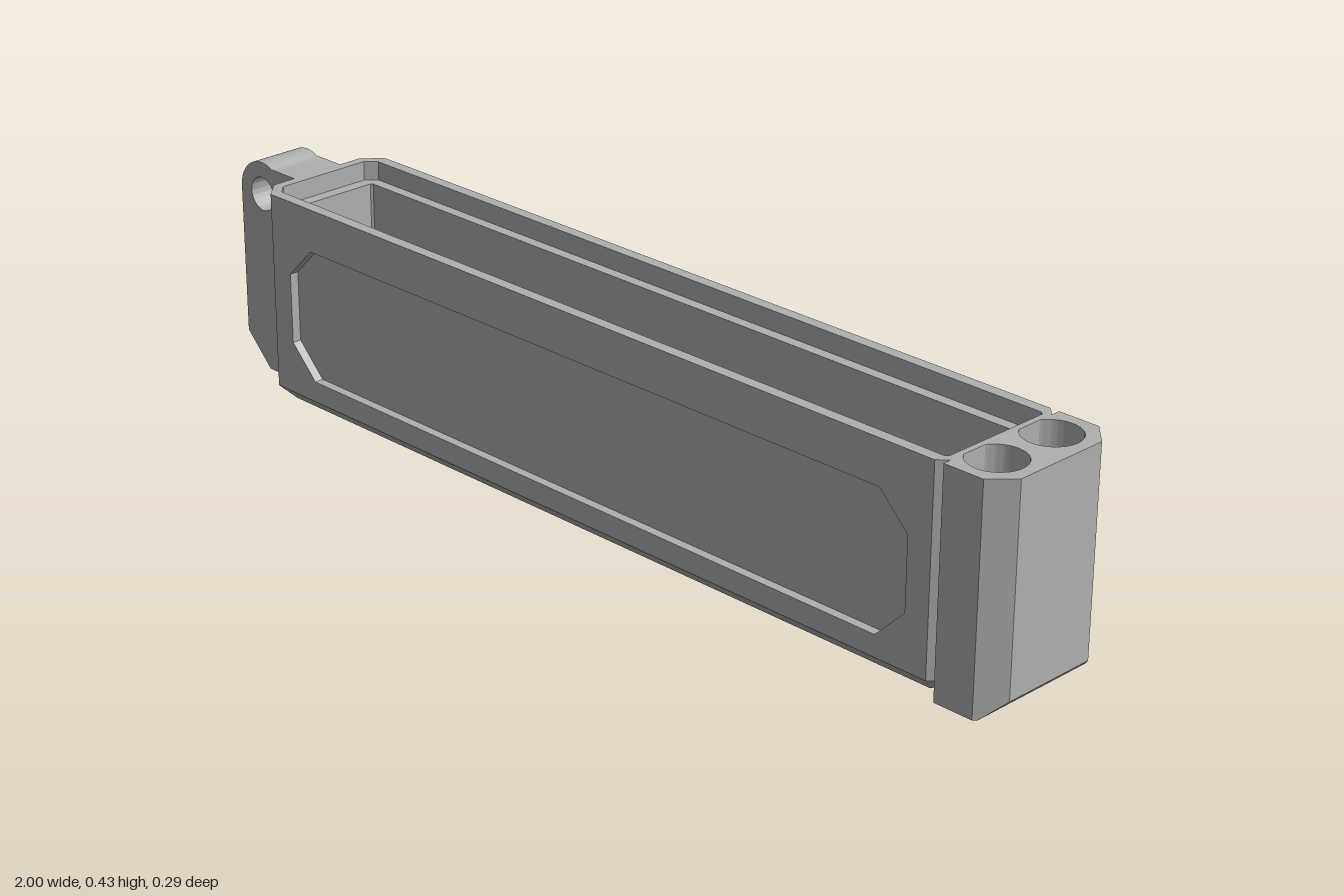
import * as THREE from 'three';
import { toCreasedNormals } from 'three/addons/utils/BufferGeometryUtils.js';

const TOP = 0.428, BASE = 0.033, HALF = 0.143, PANEL = 0.018;

// Rectangle in plan with cut corners; separate cuts for the -x and +x ends
function octagon(x0, x1, z, cl, cr) {
  return [[x0 + cl, -z], [x1 - cr, -z], [x1, -z + cr], [x1, z - cr],
    [x1 - cr, z], [x0 + cl, z], [x0, z - cl], [x0, -z + cl]];
}
const toPath = (pts, Type = THREE.Shape) => new Type(pts.map(([x, y]) => new THREE.Vector2(x, y)));

// Extrude a plan shape upward between two heights
function rise(shape, y0, y1) {
  const g = new THREE.ExtrudeGeometry(shape, { depth: y1 - y0, bevelEnabled: false, curveSegments: 40 });
  g.rotateX(-Math.PI / 2).translate(0, y0, 0);
  return toCreasedNormals(g, 0.5);
}

// Join convex plan rings, with a cap at each end
function loft(rings) {
  const pos = [];
  const at = (r, i) => pos.push(r.pts[i][0], r.y, -r.pts[i][1]);
  const n = rings[0].pts.length;
  for (let k = 0; k + 1 < rings.length; k++) {
    const a = rings[k], b = rings[k + 1];
    for (let i = 0; i < n; i++) {
      const j = (i + 1) % n;
      at(a, i); at(a, j); at(b, j);
      at(a, i); at(b, j); at(b, i);
    }
  }
  const first = rings[0], last = rings[rings.length - 1];
  for (let i = 1; i < n - 1; i++) {
    at(first, 0); at(first, i + 1); at(first, i);
    at(last, 0); at(last, i); at(last, i + 1);
  }
  const g = new THREE.BufferGeometry();
  g.setAttribute('position', new THREE.Float32BufferAttribute(pos, 3));
  g.computeVertexNormals();
  return g;
}

export function createModel() {
  const model = new THREE.Group();
  const grey = new THREE.MeshStandardMaterial({ color: 0xb0b0b0 });
  grey.name = 'plain grey';
  const add = (name, geometry) => {
    const mesh = new THREE.Mesh(geometry, grey);
    mesh.name = name;
    model.add(mesh);
  };

  // Tray floor with bevelled underside
  const full = octagon(-0.835, 0.878, HALF, 0.035, 0.018);
  const inset = octagon(-0.802, 0.845, HALF - BASE, 0.016, 0.004);
  add('trayBase', loft([{ pts: inset, y: 0.008 }, { pts: inset, y: 0 }, { pts: full, y: BASE }]));

  // Underside skin with three shallow slots
  const skin = toPath(inset);
  for (const x of [-0.11, 0.02, 0.15]) {
    skin.holes.push(toPath(octagon(x - 0.008, x + 0.008, 0.065, 0.002, 0.002), THREE.Path));
  }
  add('slottedUnderside', rise(skin, 0, 0.008));

  // Tray walls, with a stepped ledge below the rim
  const wall = (hole, y0, y1) => {
    const s = toPath(octagon(-0.835, 0.878, HALF - PANEL, 0.018, 0.001));
    s.holes.push(toPath(hole, THREE.Path));
    return rise(s, y0, y1);
  };
  add('trayWalls', wall(octagon(-0.79, 0.855, 0.098, 0.004, 0.004), BASE, 0.39));
  add('trayRim', wall(octagon(-0.815, 0.866, 0.12, 0.02, 0.006), 0.39, TOP));

  // Long side faces framing a recessed eight-sided panel
  for (const [name, z] of [['frontFrame', HALF - PANEL], ['backFrame', -HALF]]) {
    const s = toPath([[-0.8, BASE], [0.86, BASE], [0.86, TOP], [-0.8, TOP]]);
    const c = 0.063;
    s.holes.push(toPath([[-0.75 + c, 0.075], [0.81 - c, 0.075], [0.81, 0.075 + c], [0.81, 0.342 - c],
      [0.81 - c, 0.342], [-0.75 + c, 0.342], [-0.75, 0.342 - c], [-0.75, 0.075 + c]], THREE.Path));
    const g = new THREE.ExtrudeGeometry(s, { depth: PANEL, bevelEnabled: false }).translate(0, 0, z);
    // slope the end edges so they continue the cut corners
    const p = g.attributes.position;
    for (let i = 0; i < p.count; i++) {
      if (Math.abs(p.getZ(i)) > 0.13) continue;
      if (p.getX(i) < -0.79) p.setX(i, -0.8 - PANEL);
      if (p.getX(i) > 0.85) p.setX(i, 0.86 + PANEL);
    }
    g.computeVertexNormals();
    add(name, g);
  }

  // Hanging lug with a round eye
  const lug = new THREE.Shape();
  lug.moveTo(-0.935, 0);
  lug.lineTo(-0.83, 0);
  lug.lineTo(-0.83, TOP);
  lug.lineTo(-0.89, TOP);
  lug.absarc(-0.935, 0.37, 0.065, 1.1, Math.PI, false);
  lug.lineTo(-1, 0.065);
  const eye = new THREE.Path();
  eye.absarc(-0.935, 0.37, 0.034, 0, Math.PI * 2, true);
  lug.holes.push(eye);
  const lugGeo = new THREE.ExtrudeGeometry(lug, { depth: 0.114, bevelEnabled: false, curveSegments: 32 });
  add('hangingLug', toCreasedNormals(lugGeo.translate(0, 0, -0.057), 0.5));

  // End block with two round sockets open toward the tray
  const block = toPath([[0.878, -HALF], [0.96, -HALF], [1, -0.1], [1, 0.1], [0.96, HALF], [0.878, HALF]]);
  const mouth = Math.PI - Math.acos(0.046 / 0.053);
  for (const s of [0.068, -0.068]) block.absarc(0.924, s, 0.053, mouth, -mouth, true);
  add('socketBlock', rise(block, BASE, TOP));

  // Block foot, bevelled toward the end
  const foot = (x, z) => [[0.878, -HALF], [0.96, -HALF], [x, -z], [x, z], [0.96, HALF], [0.878, HALF]];
  add('socketBlockFoot', loft([{ pts: foot(0.966, 0.1366), y: 0 }, { pts: foot(1, 0.1), y: BASE }]));

  return model;
}
